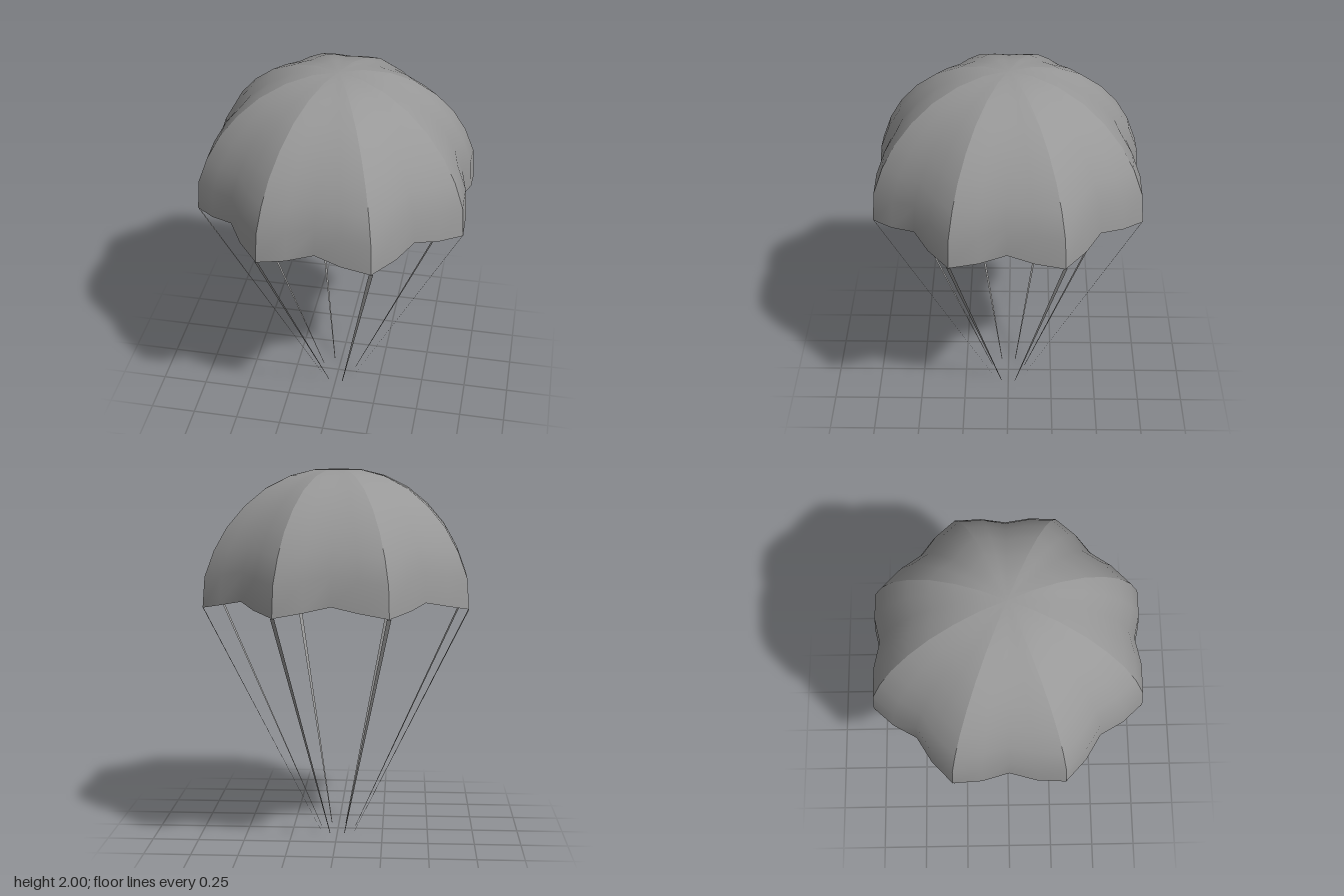
import * as THREE from 'three';

const GORES = 8;
const STEPS = 4; // segments per gore, rib to rib
const material = new THREE.MeshStandardMaterial({ color: 0x989898, side: THREE.DoubleSide });

// Rib curve from rim to crown: [radius, height]
const RIB = [
  [0.755, 1.283], [0.742, 1.445], [0.69, 1.58], [0.619, 1.7],
  [0.521, 1.81], [0.406, 1.9], [0.27, 1.965], [0.132, 1.998],
];
const CROWN = 2;

function makeGeometry(positions, indices) {
  const geometry = new THREE.BufferGeometry();
  geometry.setAttribute('position', new THREE.Float32BufferAttribute(positions, 3));
  geometry.setIndex(indices);
  geometry.computeVertexNormals();
  return geometry;
}

// One gore facing +z: smooth inside, with a crease where it meets its neighbours.
// Between ribs the cloth sinks inward and the hem rises.
function goreGeometry() {
  const row = STEPS + 1;
  const positions = [], indices = [];
  for (const [radius, height] of RIB) {
    for (let j = 0; j <= STEPS; j++) {
      const angle = ((j / STEPS - 0.5) / GORES) * Math.PI * 2;
      const sink = 1 - Math.abs(j / STEPS - 0.5) * 2; // 0 on rib, 1 mid-gore
      const r = radius * (1 - 0.12 * sink);
      const y = CROWN - (CROWN - height) * (1 - 0.077 * sink);
      positions.push(r * Math.sin(angle), y, r * Math.cos(angle));
    }
  }
  const apex = RIB.length * row;
  positions.push(0, CROWN, 0);
  for (let i = 0; i < RIB.length; i++) {
    for (let j = 0; j < STEPS; j++) {
      const a = i * row + j, b = a + 1;
      if (i === RIB.length - 1) indices.push(a, b, apex);
      else indices.push(a, b, b + row, a, b + row, a + row);
    }
  }
  return makeGeometry(positions, indices);
}

// Flat ribbon, facing outward, tapering toward its foot
function lineGeometry() {
  const top = 0.0115, topRadius = 0.752, topHeight = RIB[0][1];
  const foot = 0.002, footRadius = 0.103;
  return makeGeometry([
    -foot, 0, footRadius,
    foot, 0, footRadius,
    top, topHeight, topRadius,
    -top, topHeight, topRadius,
  ], [0, 1, 2, 0, 2, 3]);
}

// Repeats one part around the vertical axis, starting at a fraction of a gore
function ring(name, partName, geometry, offset) {
  const group = new THREE.Group();
  group.name = name;
  for (let k = 0; k < GORES; k++) {
    const part = new THREE.Mesh(geometry, material);
    part.name = `${partName}${k + 1}`;
    part.rotation.y = ((k + offset) / GORES) * Math.PI * 2;
    group.add(part);
  }
  return group;
}

export function createModel() {
  const model = new THREE.Group();
  model.name = 'parachute';
  model.add(ring('canopy', 'gore', goreGeometry(), 0));
  // One suspension line below each rib
  model.add(ring('suspensionLines', 'suspensionLine', lineGeometry(), 0.5));
  return model;
}
